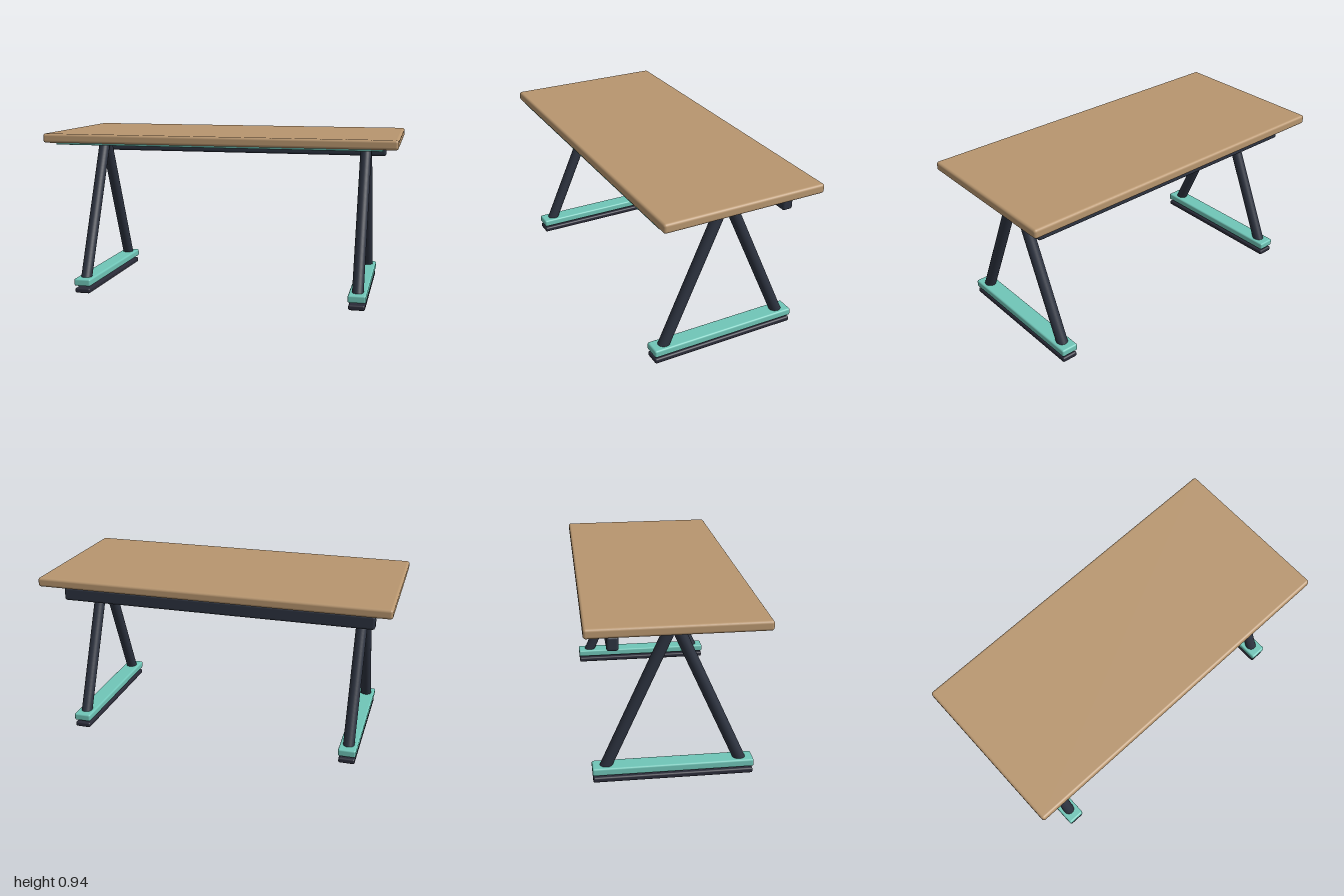
import * as THREE from 'three';
import { RoundedBoxGeometry } from 'three/addons/geometries/RoundedBoxGeometry.js';

const wood = new THREE.MeshStandardMaterial({ color: 0xb8966f });
const dark = new THREE.MeshStandardMaterial({ color: 0x2d3340 });
const soleDark = new THREE.MeshStandardMaterial({ color: 0x2a2b38 });
const teal = new THREE.MeshStandardMaterial({ color: 0x70c6b8 });

// Rounded box given by its size and centre
function roundedBox(name, material, size, centre, radius) {
  const mesh = new THREE.Mesh(new RoundedBoxGeometry(...size, 4, radius), material);
  mesh.name = name;
  mesh.position.set(...centre);
  return mesh;
}

// Round bar between two points
function bar(name, material, from, to, radius) {
  const a = new THREE.Vector3(...from);
  const b = new THREE.Vector3(...to);
  const axis = b.clone().sub(a);
  const mesh = new THREE.Mesh(new THREE.CylinderGeometry(radius, radius, axis.length(), 32), material);
  mesh.name = name;
  mesh.position.copy(a).add(b).multiplyScalar(0.5);
  mesh.quaternion.setFromUnitVectors(new THREE.Vector3(0, 1, 0), axis.normalize());
  return mesh;
}

// A-shaped leg pair on a teal rail with a dark sole below
function trestle(name, x) {
  const group = new THREE.Group();
  group.name = name;
  group.position.x = x;
  group.add(roundedBox('sole', soleDark, [0.092, 0.03, 0.862], [0, 0.015, 0], 0.01));
  group.add(roundedBox('footRail', teal, [0.1, 0.043, 0.868], [0, 0.064, 0], 0.01));
  for (const side of [1, -1]) {
    const legName = side > 0 ? 'frontLeg' : 'backLeg';
    group.add(bar(legName, dark, [0, 0.045, side * 0.376], [0, 0.89, 0], 0.032));
  }
  return group;
}

export function createModel() {
  const desk = new THREE.Group();
  desk.name = 'desk';

  desk.add(roundedBox('desktop', wood, [2, 0.053, 0.934], [0, 0.9115, 0], 0.015));
  desk.add(trestle('leftTrestle', 0.8), trestle('rightTrestle', -0.8));

  // Cable beam along the back
  desk.add(roundedBox('cableBeam', dark, [1.8, 0.078, 0.061], [0, 0.814, -0.319], 0.014));

  // Light strip under the front edge
  desk.add(bar('lightStrip', teal, [-0.92, 0.884, 0.451], [0.92, 0.884, 0.451], 0.008));

  // Thin plate under the back edge
  const plate = new THREE.Mesh(new THREE.BoxGeometry(0.28, 0.016, 0.021), soleDark);
  plate.name = 'cablePlate';
  plate.position.set(0, 0.886, -0.405);
  desk.add(plate);

  return desk;
}
